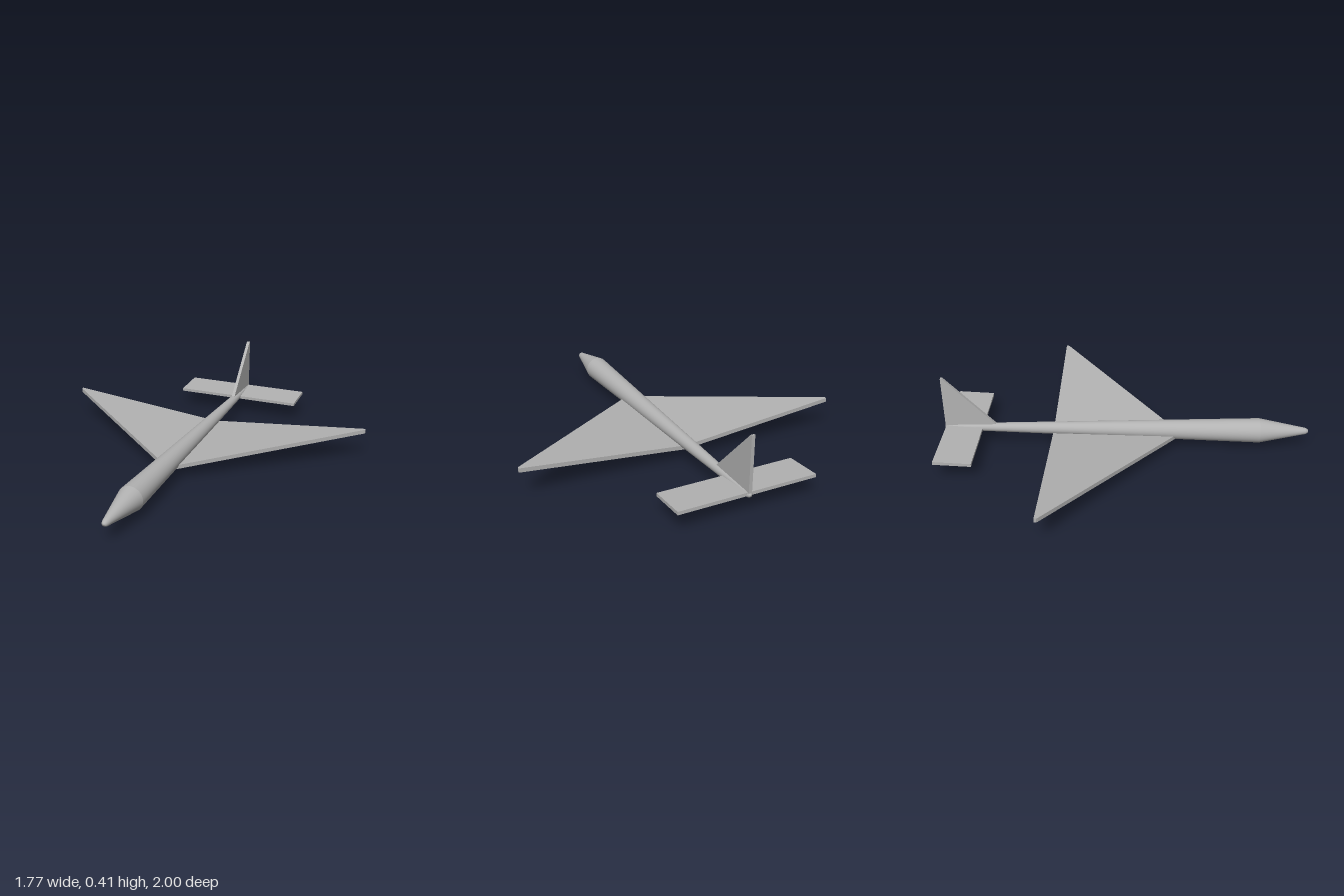
import * as THREE from 'three';

const AXIS_Y = 0.103; // height of the fuselage centre line

export function createModel() {
  const model = new THREE.Group();
  const grey = new THREE.MeshStandardMaterial({ color: 0xb2b2b2 });
  grey.name = 'plainGrey';

  const add = (name, geometry) => {
    const mesh = new THREE.Mesh(geometry, grey);
    mesh.name = name;
    model.add(mesh);
    return mesh;
  };

  // Round body part: [radius, z] pairs from back to front
  const turned = (name, profile) => {
    const geo = new THREE.LatheGeometry(profile.map(([r, z]) => new THREE.Vector2(r, z)), 48);
    geo.rotateX(Math.PI / 2);
    add(name, geo).position.y = AXIS_Y;
  };

  // Flat outline extruded by a thickness
  const plate = (points, depth) => new THREE.ExtrudeGeometry(
    new THREE.Shape(points.map(([a, b]) => new THREE.Vector2(a, b))),
    { depth, bevelEnabled: false });

  // Fuselage: long tapering boom with a rounded tail, and a blunt nose cone
  turned('fuselage', [[0, -1], [0.008, -0.998], [0.014, -0.99], [0.017, -0.975], [0.067, 0.73]]);
  turned('noseCone', [[0.067, 0.73], [0.021, 0.965], [0.018, 0.982], [0.011, 0.996], [0, 1]]);

  // Delta wings, sheared upward toward the tips
  for (const side of [1, -1]) {
    const geo = plate([[0, 0.3], [0.877, -0.38], [0.885, -0.388], [0.885, -0.4], [0, -0.4]]
      .map(([x, z]) => [x * side, z]), 0.022);
    geo.rotateX(Math.PI / 2);
    const pos = geo.attributes.position;
    for (let i = 0; i < pos.count; i++) {
      pos.setY(i, pos.getY(i) + 0.082 + Math.abs(pos.getX(i)) * 0.098);
    }
    geo.computeVertexNormals();
    add(side > 0 ? 'leftWing' : 'rightWing', geo);
  }

  // Tailplane, tilted slightly nose down
  const tailplane = add('tailplane', new THREE.BoxGeometry(0.74, 0.017, 0.2));
  tailplane.position.set(0, 0.103, -0.89);
  tailplane.rotation.x = 0.05;

  // Upright triangular fin, outline in z and y
  const fin = plate([[-0.69, 0.1], [-0.985, 0.405], [-0.995, 0.405], [-0.995, 0.1]]
    .map(([z, y]) => [-z, y]), 0.018);
  fin.rotateY(Math.PI / 2);
  fin.translate(-0.009, 0, 0);
  add('tailFin', fin);

  // Belly skid: a box narrowed toward the ground
  const skid = new THREE.BoxGeometry(1, 0.075, 1).toNonIndexed();
  const p = skid.attributes.position;
  for (let i = 0; i < p.count; i++) {
    const top = p.getY(i) > 0;
    p.setX(i, p.getX(i) * (top ? 0.056 : 0.036));
    p.setZ(i, p.getZ(i) * (top ? 0.175 : 0.112));
  }
  skid.computeVertexNormals();
  add('bellySkid', skid).position.set(0, 0.0375, -0.091);

  return model;
}
